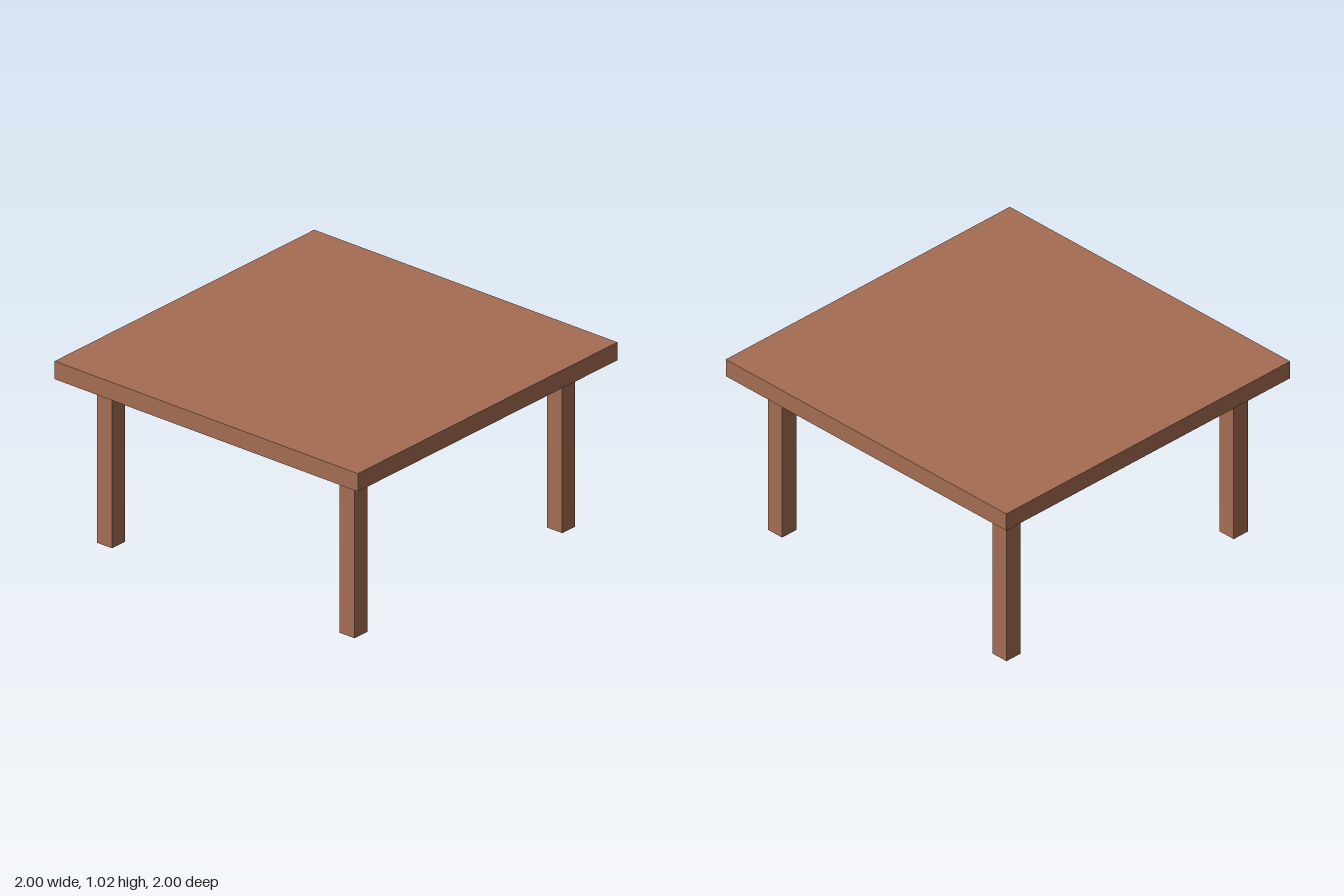
import * as THREE from 'three';

export function createModel() {
  const group = new THREE.Group();
  group.name = 'table';

  const wood = new THREE.MeshStandardMaterial({ color: 0xa56d52 });
  wood.name = 'brown wood';

  const legHeight = 0.917;
  const topThickness = 0.1;
  const legWidth = 0.1;
  const legOffset = 0.8;

  // Square slab
  const top = new THREE.Mesh(new THREE.BoxGeometry(2, topThickness, 2), wood);
  top.name = 'tableTop';
  top.position.y = legHeight + topThickness / 2;
  group.add(top);

  // Four square legs, set in from the corners
  const legGeometry = new THREE.BoxGeometry(legWidth, legHeight, legWidth);
  for (const [zName, z] of [['front', 1], ['back', -1]]) {
    for (const [xName, x] of [['Left', 1], ['Right', -1]]) {
      const leg = new THREE.Mesh(legGeometry, wood);
      leg.name = `${zName}${xName}Leg`;
      leg.position.set(x * legOffset, legHeight / 2, z * legOffset);
      group.add(leg);
    }
  }

  return group;
}
